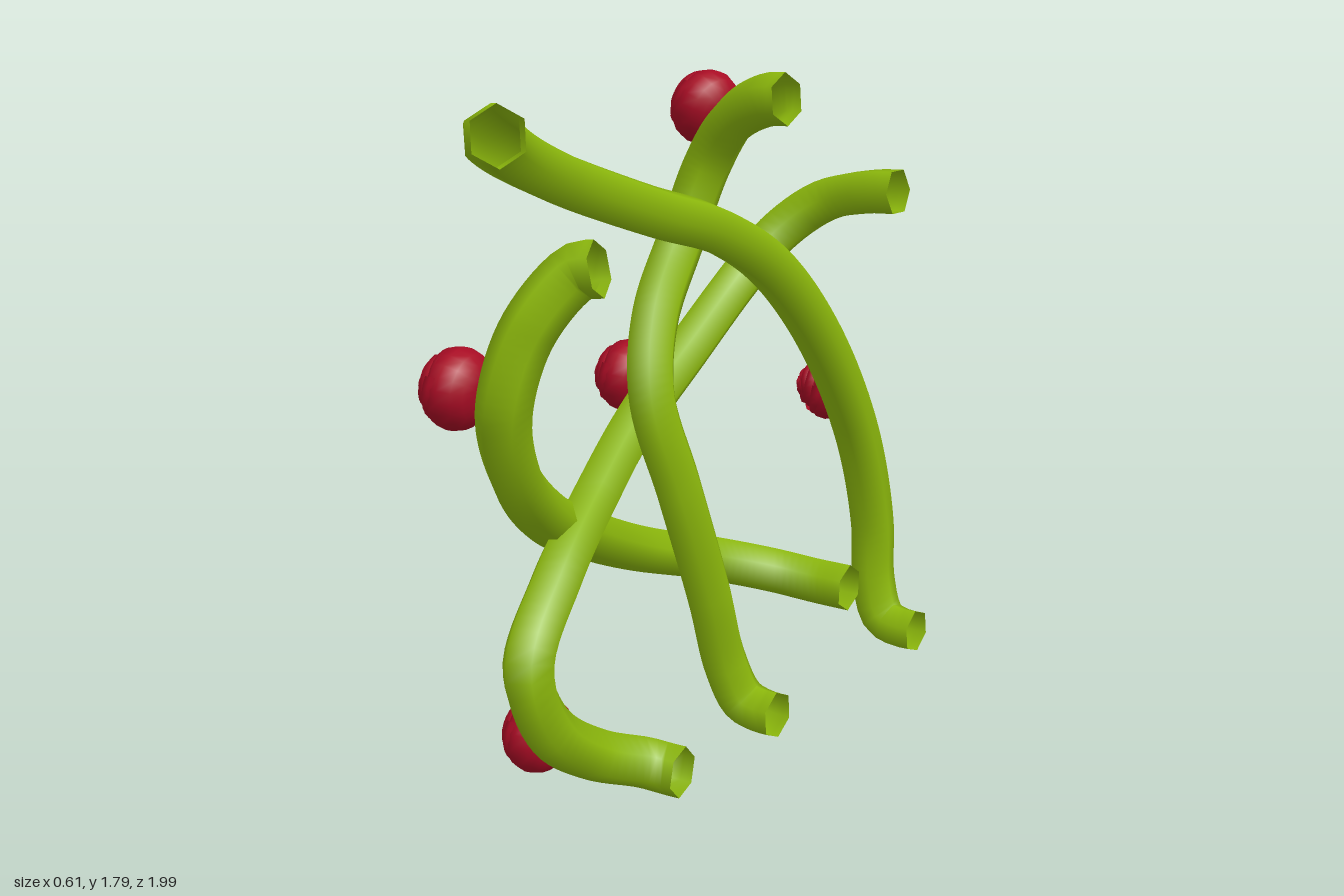
import * as THREE from 'three';

const stemGreen = new THREE.MeshStandardMaterial({ name: 'stemGreen', color: 0x8cb80c, side: THREE.DoubleSide });
const petalRed = new THREE.MeshStandardMaterial({ name: 'petalRed', color: 0xa80c24, side: THREE.DoubleSide });

const v = (p) => new THREE.Vector3(...p);

// Open six-sided stem along a smooth path, both ends meeting the wall at x = 0.28
function vine(name, points) {
  const curve = new THREE.CatmullRomCurve3(points.map(v), false, 'centripetal');
  const mesh = new THREE.Mesh(new THREE.TubeGeometry(curve, 90, 0.067, 6, false), stemGreen);
  mesh.name = name;
  return mesh;
}

// One curled petal: part of a lathe whose radius opens along its width
function petalGeometry(r, rim, start) {
  const profile = [[r * 0.95, -0.02], [r * 1.02, rim - 0.025], [r * 0.96, rim - 0.008], [r * 0.72, rim]];
  const span = 2.7;
  const geo = new THREE.LatheGeometry(profile.map((p) => new THREE.Vector2(...p)), 12, start, span);
  const pos = geo.attributes.position;
  for (let i = 0; i < pos.count; i++) {
    const t = Math.floor(i / profile.length) / 12;
    const s = 0.9 + 0.2 * t;
    const lift = 0.008 * Math.sin(t * Math.PI) + 0.006 * (t - 0.5);
    pos.setXYZ(i, pos.getX(i) * s, pos.getY(i) + lift, pos.getZ(i) * s);
  }
  geo.computeVertexNormals();
  return geo;
}

// Rose: rounded base with rings of overlapping petals, opening along its axis
function rose(name, position, axis) {
  const group = new THREE.Group();
  group.name = name;
  const dome = [[0, -0.08], [0.04, -0.078], [0.07, -0.066], [0.09, -0.043], [0.1, -0.01], [0.095, 0.018], [0.08, 0.028]];
  const base = new THREE.Mesh(new THREE.LatheGeometry(dome.map((p) => new THREE.Vector2(...p)), 20), petalRed);
  base.name = 'roseBase';
  group.add(base);
  const rings = [[0.09, 0.034], [0.076, 0.052], [0.06, 0.066], [0.042, 0.076], [0.022, 0.082]];
  rings.forEach(([r, rim], k) => {
    for (let j = 0; j < 3; j++) {
      const petal = new THREE.Mesh(petalGeometry(r, rim, k * 0.8 + j * Math.PI * 2 / 3), petalRed);
      petal.name = 'petal';
      group.add(petal);
    }
  });
  group.position.copy(v(position));
  group.quaternion.setFromUnitVectors(new THREE.Vector3(0, 1, 0), v(axis).normalize());
  return group;
}

export function createModel() {
  const model = new THREE.Group();
  model.name = 'roseVines';

  // Long arching stem
  model.add(vine('archingVine', [
    [0.28, 1.73, 0.94], [0.24, 1.725, 0.915], [0.165, 1.67, 0.77], [0.12, 1.59, 0.55], [0.115, 1.475, 0.2],
    [0.115, 1.395, -0.07], [0.115, 1.256, -0.34], [0.115, 1.0, -0.61], [0.115, 0.68, -0.82],
    [0.115, 0.39, -0.92], [0.12, 0.2, -0.93], [0.16, 0.09, -0.925], [0.22, 0.07, -0.92], [0.28, 0.07, -0.92]]));

  // Upright wavy stem
  model.add(vine('uprightVine', [
    [0.28, 1.73, -0.14], [0.22, 1.725, -0.145], [0.1, 1.67, -0.175], [0.0, 1.54, -0.195], [-0.04, 1.35, -0.135],
    [0.0, 1.165, 0.035], [0.05, 0.98, 0.115], [0.095, 0.735, 0.06], [0.12, 0.415, -0.045],
    [0.13, 0.2, -0.11], [0.17, 0.09, -0.14], [0.23, 0.07, -0.145], [0.28, 0.07, -0.145]]));

  // Diagonal stem rising towards the back
  model.add(vine('backLeaningVine', [
    [0.28, 1.435, -0.72], [0.2, 1.43, -0.72], [0.04, 1.39, -0.72], [-0.07, 1.3, -0.66], [-0.12, 1.19, -0.555],
    [-0.125, 1.015, -0.29], [-0.1, 0.87, -0.02], [-0.03, 0.735, 0.25], [0.06, 0.6, 0.52],
    [0.105, 0.44, 0.68], [0.115, 0.265, 0.62], [0.13, 0.14, 0.46], [0.19, 0.085, 0.33],
    [0.24, 0.07, 0.3], [0.28, 0.07, 0.295]]));

  // Diagonal stem rising towards the front
  model.add(vine('frontLeaningVine', [
    [0.28, 1.41, 0.615], [0.23, 1.4, 0.63], [0.15, 1.27, 0.71], [0.1, 1.085, 0.74], [0.05, 0.9, 0.65],
    [-0.015, 0.735, 0.46], [-0.085, 0.6, 0.195], [-0.12, 0.485, -0.07], [-0.07, 0.4, -0.32],
    [0.05, 0.35, -0.46], [0.17, 0.33, -0.505], [0.28, 0.33, -0.51]]));

  // Roses facing away from the wall
  model.add(rose('topRose', [-0.035, 1.69, -0.23], [-0.9, 0.3, -0.15]));
  model.add(rose('backRose', [-0.02, 0.81, -0.855], [-0.9, 0.1, 0.4]));
  model.add(rose('middleRose', [-0.21, 0.96, -0.115], [-1, 0.08, 0.1]));
  model.add(rose('frontRose', [-0.06, 1.11, 0.725], [-1, 0.1, 0.15]));
  model.add(rose('bottomRose', [-0.015, 0.18, 0.515], [-1, 0, 0]));

  return model;
}
